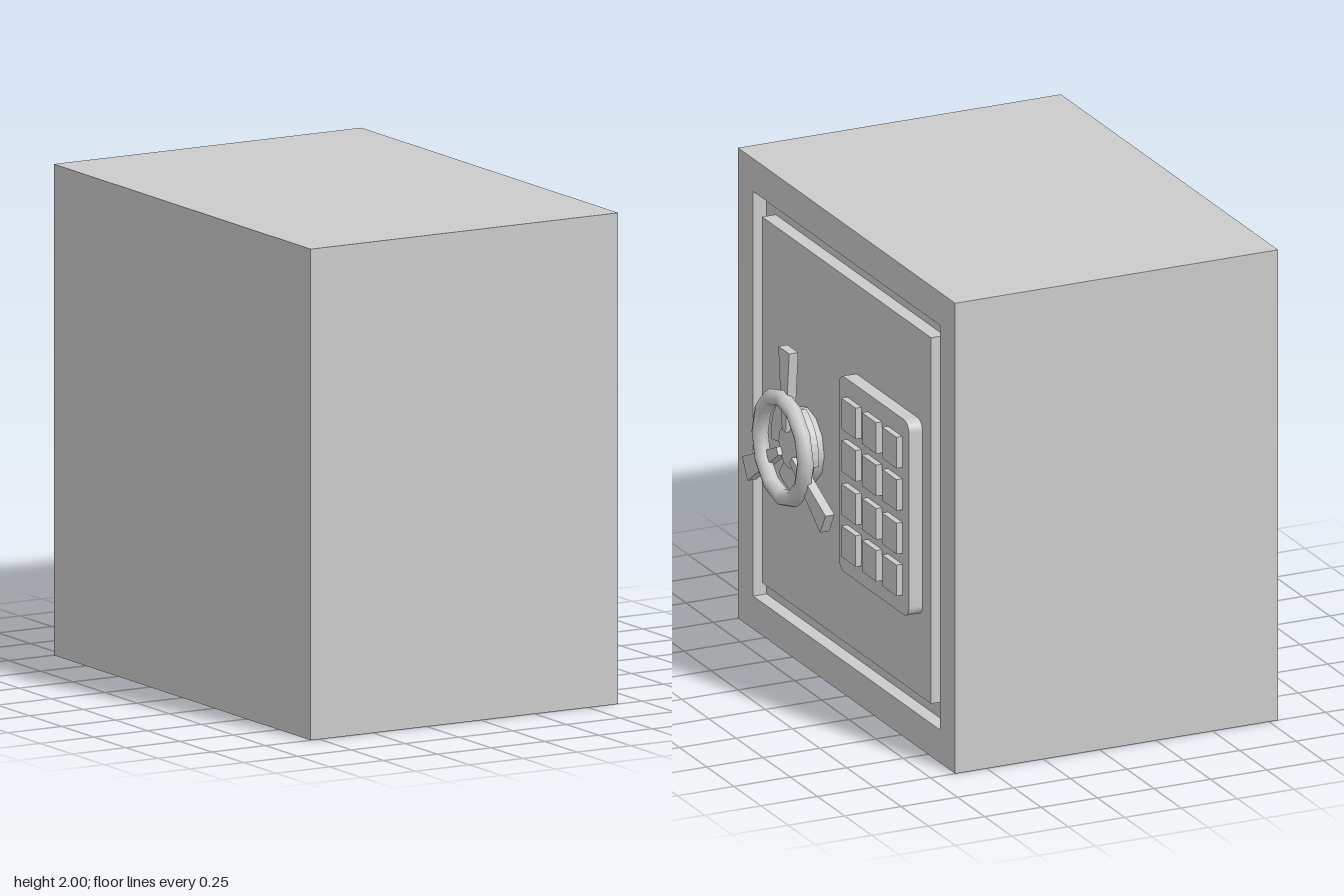
import * as THREE from 'three';

const material = new THREE.MeshStandardMaterial({ color: 0xcccccc });

function add(parent, name, geometry, x = 0, y = 0, z = 0) {
  const mesh = new THREE.Mesh(geometry, material);
  mesh.name = name;
  mesh.position.set(x, y, z);
  parent.add(mesh);
  return mesh;
}

const extrude = (shape, depth, curveSegments = 4) =>
  new THREE.ExtrudeGeometry(shape, { depth, bevelEnabled: false, curveSegments });

const polygon = (points) => new THREE.Shape(points.map(([x, y]) => new THREE.Vector2(x, y)));

const rectangle = (w, h) =>
  polygon([[-w / 2, -h / 2], [w / 2, -h / 2], [w / 2, h / 2], [-w / 2, h / 2]]);

function roundedRectangle(w, h, r) {
  const s = new THREE.Shape();
  const x = w / 2 - r, y = h / 2 - r;
  s.absarc(x, y, r, 0, Math.PI / 2);
  s.absarc(-x, y, r, Math.PI / 2, Math.PI);
  s.absarc(-x, -y, r, Math.PI, Math.PI * 1.5);
  s.absarc(x, -y, r, Math.PI * 1.5, Math.PI * 2);
  s.closePath();
  return s;
}

// A disc lying in the plane of the door
const disc = (r, depth) => new THREE.CylinderGeometry(r, r, depth, 12).rotateX(Math.PI / 2);

function createWheel() {
  const wheel = new THREE.Group();
  wheel.name = 'handWheel';
  add(wheel, 'wheelBase', disc(0.155, 0.04), 0, 0, 0.66);
  add(wheel, 'wheelHub', disc(0.09, 0.05), 0, 0, 0.7);

  const rim = new THREE.TorusGeometry(0.21, 0.035, 8, 12);
  add(wheel, 'wheelRim', rim, 0, 0, 0.75);

  // Flared spokes alternate with broad curved blades
  const spoke = extrude(polygon([[-0.017, 0.07], [0.017, 0.07], [0.05, 0.415], [-0.05, 0.415]]), 0.04);
  const blade = new THREE.Shape();
  const half = 0.68;
  blade.absarc(0, 0, 0.19, -Math.PI / 2 - half, -Math.PI / 2 + half, false);
  blade.absarc(0, 0, 0.08, -Math.PI / 2 + half, -Math.PI / 2 - half, true);
  blade.closePath();
  const bladeGeometry = extrude(blade, 0.03);
  for (let i = 0; i < 3; i++) {
    const angle = (i * Math.PI * 2) / 3;
    add(wheel, 'wheelSpoke', spoke, 0, 0, 0.705).rotation.z = angle;
    add(wheel, 'wheelBlade', bladeGeometry, 0, 0, 0.68).rotation.z = angle;
  }
  return wheel;
}

function createKeypad() {
  const keypad = new THREE.Group();
  keypad.name = 'keypad';
  add(keypad, 'keypadPlate', extrude(roundedRectangle(0.645, 0.83, 0.045), 0.06), 0.377, 0.985, 0.64);
  const key = new THREE.BoxGeometry(0.132, 0.132, 0.035);
  for (const x of [0.197, 0.385, 0.572]) {
    for (const y of [0.715, 0.893, 1.078, 1.258]) add(keypad, 'key', key, x, y, 0.7085);
  }
  return keypad;
}

export function createModel() {
  const model = new THREE.Group();
  model.name = 'safe';

  // Built with the door towards local +z, then turned towards +x
  const safe = new THREE.Group();
  safe.name = 'safeBody';
  safe.rotation.y = Math.PI / 2;
  model.add(safe);

  // Cabinet with a shallow recess around the door
  add(safe, 'cabinet', new THREE.BoxGeometry(2, 2, 1.37), 0, 1, -0.105);
  const frame = rectangle(2, 2);
  frame.holes.push(rectangle(1.72, 1.72));
  add(safe, 'doorFrame', extrude(frame, 0.06), 0, 1, 0.58);
  add(safe, 'door', new THREE.BoxGeometry(1.556, 1.556, 0.06), 0, 1.002, 0.61);

  const wheel = createWheel();
  wheel.position.set(-0.36, 0.953, 0);
  safe.add(wheel, createKeypad());
  return model;
}
